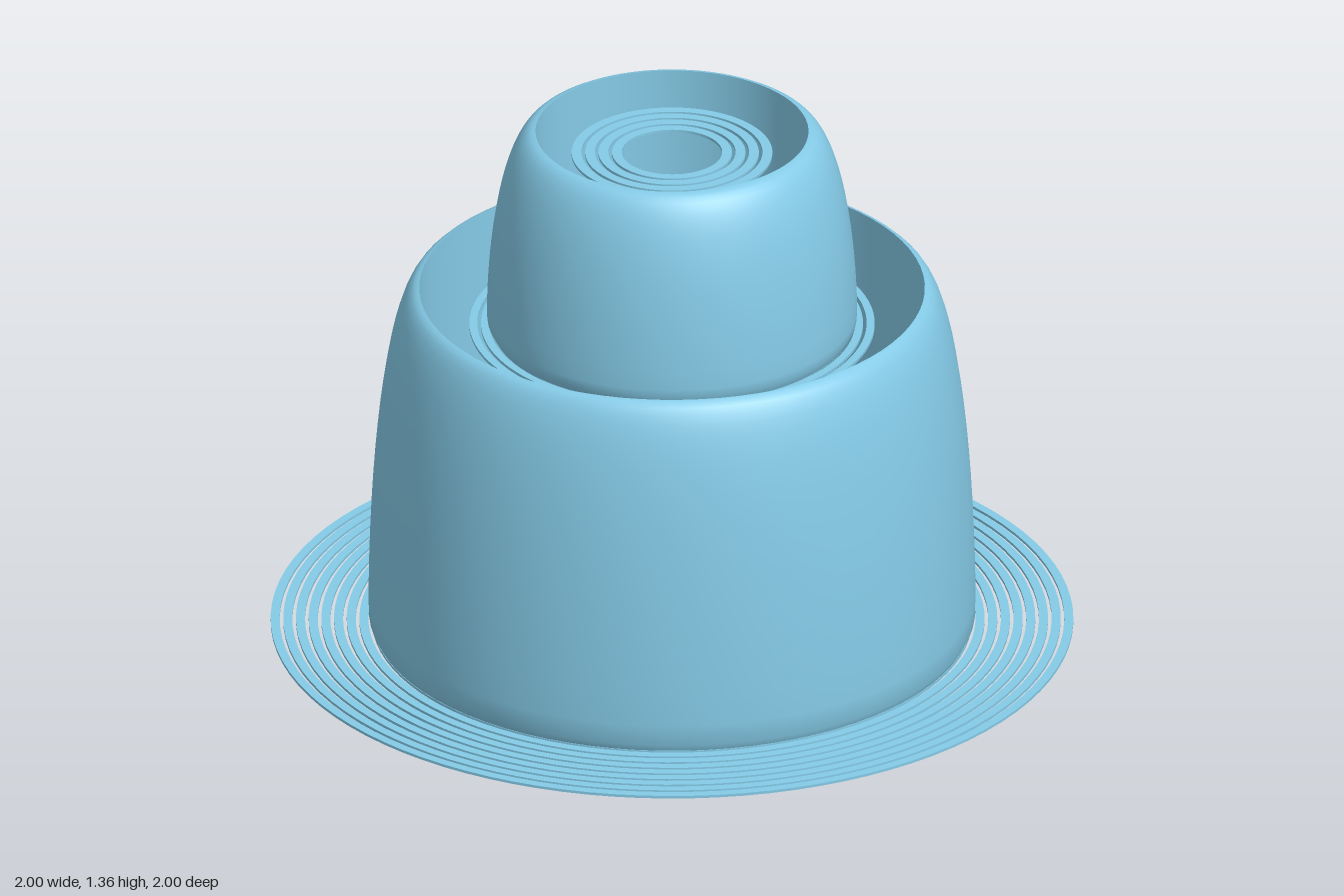
import * as THREE from 'three';
import { toCreasedNormals } from 'three/addons/utils/BufferGeometryUtils.js';

const blue = new THREE.MeshStandardMaterial({ color: 0x87ceeb });
blue.name = 'sky blue';

function lathe(name, profile, segments) {
  const points = profile.map(([r, y]) => new THREE.Vector2(r, y));
  const mesh = new THREE.Mesh(toCreasedNormals(new THREE.LatheGeometry(points, segments), 0.6), blue);
  mesh.name = name;
  return mesh;
}

// Hollow tier: elliptical shoulder outside, straight bore inside
function makeShell(name, bore, radius, height) {
  const profile = [[bore, 0.005], [radius - 0.012, 0.005], [radius - 0.002, 0.025]];
  const steps = 18;
  for (let i = 1; i <= steps; i++) {
    const a = (i / steps) * Math.PI / 2;
    profile.push([bore + (radius - bore) * Math.cos(a), height * Math.sin(a)]);
  }
  profile.push([bore, 0.005]);
  return lathe(name, profile, 80);
}

// Flat brim made of separate concentric rings
function makeBrim(name, inner, outer, count) {
  const brim = new THREE.Group();
  brim.name = name;
  const gap = 0.009;
  const pitch = (outer - inner + gap) / count;
  for (let i = 0; i < count; i++) {
    const r0 = inner + i * pitch;
    const r1 = r0 + pitch - gap;
    brim.add(lathe('brimRing', [[r0, 0], [r1, 0], [r1, 0.007], [r0, 0.007], [r0, 0]], 96));
  }
  return brim;
}

export function createModel() {
  const model = new THREE.Group();
  model.name = 'tieredHat';

  // Large lower tier
  model.add(makeShell('lowerShell', 0.63, 0.757, 0.925));
  model.add(makeBrim('lowerBrim', 0.63, 1, 12));

  // Smaller tier set into the lower opening
  const upper = new THREE.Group();
  upper.name = 'upperTier';
  upper.position.y = 0.82;
  upper.add(makeShell('upperShell', 0.34, 0.462, 0.54));
  upper.add(makeBrim('upperBrim', 0.34, 0.505, 6));
  model.add(upper);

  // Small set of rings inside the top opening
  const core = makeBrim('coreRings', 0.125, 0.25, 4);
  core.position.y = 1.295;
  model.add(core);

  return model;
}
